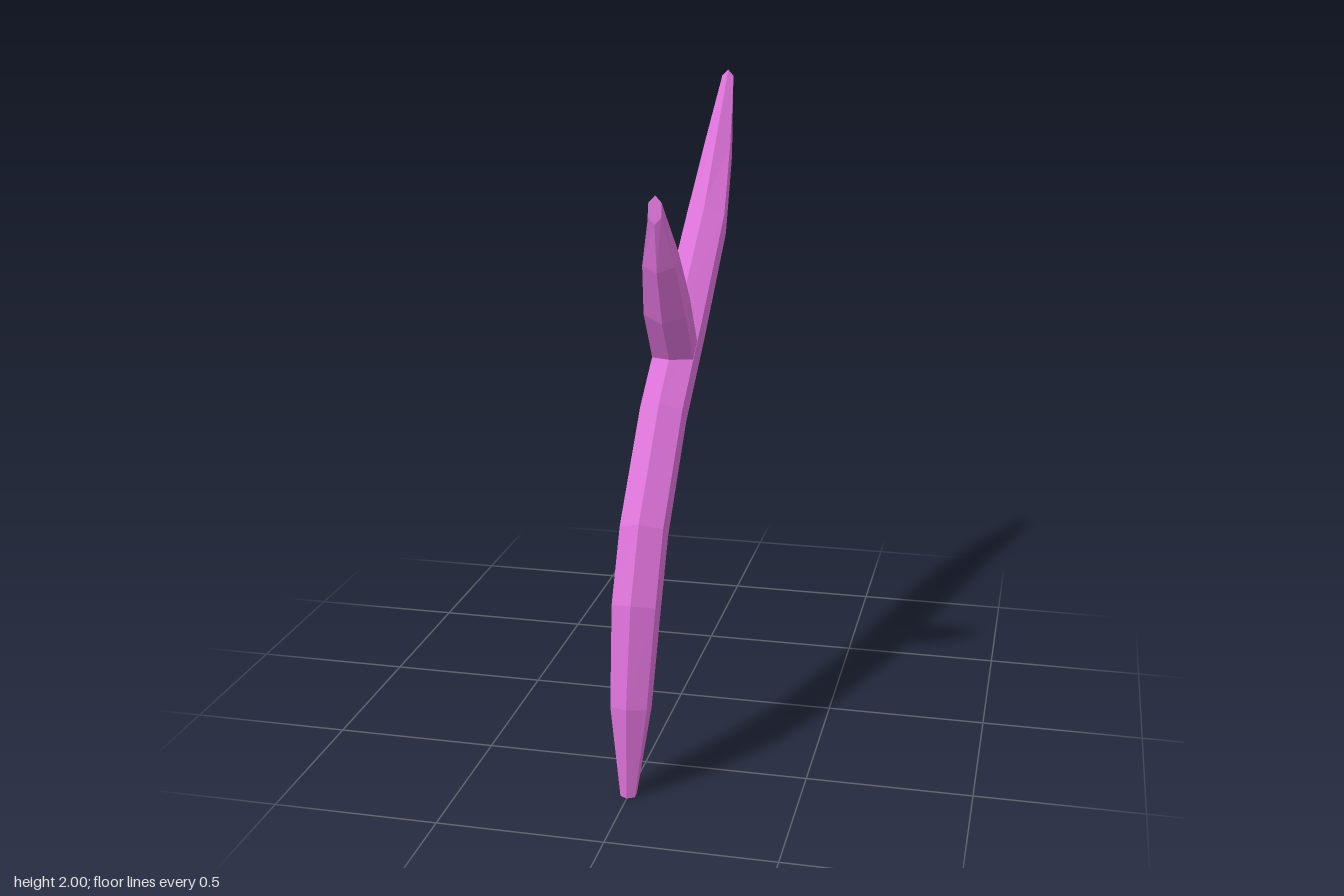
import * as THREE from 'three';

// Lofts six-sided rings. Each ring: [front z, front y, back z, back y, half width].
function hexLimb(name, rings, material) {
  const positions = [];
  const loops = rings.map(([fz, fy, bz, by, w]) =>
    [[0, 0], [w, 0.25], [w, 0.75], [0, 1], [-w, 0.75], [-w, 0.25]].map(([x, t]) =>
      [x, fy + (by - fy) * t, fz + (bz - fz) * t]));
  const tri = (a, b, c) => positions.push(...a, ...b, ...c);

  // Side faces
  for (let r = 0; r < loops.length - 1; r++) {
    const a = loops[r], b = loops[r + 1];
    for (let i = 0; i < 6; i++) {
      const j = (i + 1) % 6;
      tri(a[i], a[j], b[j]);
      tri(a[i], b[j], b[i]);
    }
  }
  // End caps
  const first = loops[0], last = loops[loops.length - 1];
  for (let i = 1; i < 5; i++) {
    tri(first[0], first[i + 1], first[i]);
    tri(last[0], last[i], last[i + 1]);
  }

  const geometry = new THREE.BufferGeometry();
  geometry.setAttribute('position', new THREE.Float32BufferAttribute(positions, 3));
  geometry.computeVertexNormals();
  const mesh = new THREE.Mesh(geometry, material);
  mesh.name = name;
  return mesh;
}

export function createModel() {
  const group = new THREE.Group();
  group.name = 'branchedHorn';
  const material = new THREE.MeshStandardMaterial({ color: 0xda70d6, flatShading: true });

  // Long curved stem, from the blunt foot to the tapered tip
  group.add(hexLimb('mainStem', [
    [0.74, 0, 0.69, 0, 0.022],
    [0.74, 0.285, 0.615, 0.25, 0.055],
    [0.675, 0.585, 0.535, 0.525, 0.066],
    [0.57, 0.80, 0.44, 0.715, 0.066],
    [0.305, 1.10, 0.20, 0.99, 0.066],
    [0.02, 1.314, -0.07, 1.19, 0.066],
    [-0.355, 1.595, -0.415, 1.46, 0.063],
    [-0.545, 1.795, -0.61, 1.70, 0.044],
    [-0.74, 2.0, -0.725, 1.915, 0.02],
  ], material));

  // Short side prong, rooted inside the stem
  group.add(hexLimb('sideProng', [
    [0.133, 1.14, 0.01, 1.225, 0.065],
    [0.262, 1.33, 0.14, 1.42, 0.065],
    [0.33, 1.50, 0.235, 1.57, 0.05],
    [0.358, 1.65, 0.345, 1.735, 0.02],
  ], material));

  return group;
}
